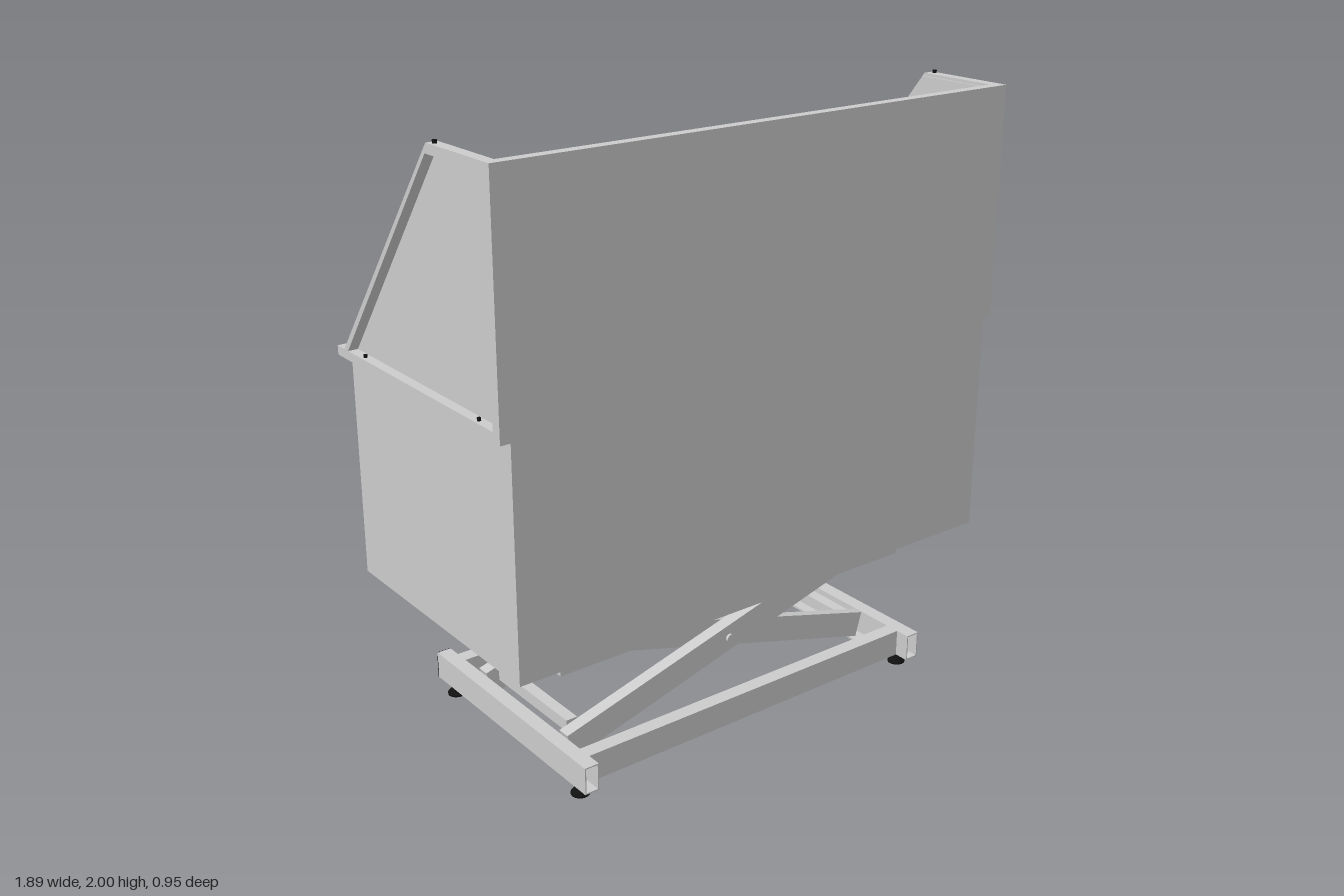
import * as THREE from 'three';

const grey = new THREE.MeshStandardMaterial({ color: 0xcccccc });
const black = new THREE.MeshStandardMaterial({ color: 0x111111 });

function add(parent, name, geometry, material = grey) {
  const mesh = new THREE.Mesh(geometry, material);
  mesh.name = name;
  parent.add(mesh);
  return mesh;
}

// Box given by its limits on each axis
function box(parent, name, [x0, x1], [y0, y1], [z0, z1], material) {
  const m = add(parent, name, new THREE.BoxGeometry(x1 - x0, y1 - y0, z1 - z0), material);
  m.position.set((x0 + x1) / 2, (y0 + y1) / 2, (z0 + z1) / 2);
  return m;
}

const points = (list) => list.map(([a, b]) => new THREE.Vector2(a, b));

// Extrude a (z, y) profile along x, from x0 to x1
function sidePlate(parent, name, outline, hole, x0, x1) {
  const shape = new THREE.Shape(points(outline));
  if (hole) shape.holes.push(new THREE.Path(points(hole)));
  const g = new THREE.ExtrudeGeometry(shape, { depth: x1 - x0, bevelEnabled: false });
  g.rotateY(-Math.PI / 2).translate(x1, 0, 0);
  return add(parent, name, g);
}

function pin(parent, name, radius, length, axis, x, y, z, material) {
  const g = new THREE.CylinderGeometry(radius, radius, length, 16);
  if (axis === 'x') g.rotateZ(Math.PI / 2);
  if (axis === 'z') g.rotateX(Math.PI / 2);
  add(parent, name, g, material).position.set(x, y, z);
}

function makeTub() {
  const tub = new THREE.Group();
  tub.name = 'tub';
  box(tub, 'floor', [-0.912, 0.912], [0.49, 0.5], [-0.44, 0.475]);

  // Tall splash wall, wider above the side rims
  const wall = new THREE.Shape(points([
    [-0.912, 0.49], [0.912, 0.49], [0.912, 1.23], [0.945, 1.23],
    [0.945, 1.99], [-0.945, 1.99], [-0.945, 1.23], [-0.912, 1.23],
  ]));
  const wallGeometry = new THREE.ExtrudeGeometry(wall, { depth: 0.035, bevelEnabled: false });
  add(tub, 'frontWall', wallGeometry.translate(0, 0, 0.44));

  // Side walls with sloping wings and an outward frame round each wing
  const panel = [[0.45, 0.49], [0.45, 1.98], [0.152, 1.98], [-0.42, 1.25], [-0.445, 1.25], [-0.445, 0.49]];
  const rim = [[0.475, 1.23], [0.475, 1.99], [0.155, 1.99], [-0.425, 1.26], [-0.467, 1.26], [-0.467, 1.23]];
  const recess = [[0.44, 1.26], [0.44, 1.96], [0.148, 1.96], [-0.4, 1.26]];
  for (const s of [-1, 1]) {
    const span = (a, b) => (s > 0 ? [a, b] : [-b, -a]);
    sidePlate(tub, 'sideWall', panel, null, ...span(0.902, 0.912));
    sidePlate(tub, 'wingFrame', rim, recess, ...span(0.908, 0.945));
    pin(tub, 'wingPeg', 0.007, 0.02, 'y', s * 0.93, 1.99, 0.178, black);
    for (const [z, y] of [[0.437, 1.9], [0.437, 1.34], [0.345, 1.264], [-0.315, 1.264]])
      pin(tub, 'frameRivet', 0.006, 0.01, z > 0.4 ? 'z' : 'y', s * 0.93, y, z, black);
  }

  // Back wall with entry opening, sill and jambs
  box(tub, 'backWall', [-0.912, 0.105], [0.49, 1.25], [-0.445, -0.435]);
  box(tub, 'backRim', [-0.945, 0.105], [1.23, 1.26], [-0.47, -0.432]);
  box(tub, 'cornerRim', [0.878, 0.945], [1.23, 1.26], [-0.47, -0.432]);
  box(tub, 'sill', [0.1, 0.9], [0.49, 0.6], [-0.442, -0.432]);
  box(tub, 'innerJamb', [0.1, 0.13], [0.49, 1.23], [-0.45, -0.432]);
  box(tub, 'outerJamb', [0.88, 0.912], [0.49, 1.23], [-0.447, -0.432]);

  // Gate sockets and latches
  for (const x of [0.135, 0.85]) {
    pin(tub, 'gateSocket', 0.02, 0.008, 'x', x, 0.542, -0.455);
    box(tub, 'socketTab', [x - 0.004, x + 0.004], [0.522, 0.562], [-0.456, -0.44]);
  }
  for (const x of [0.115, 0.895])
    box(tub, 'latchPlate', [x - 0.005, x + 0.005], [1.105, 1.14], [-0.453, -0.445], black);
  return tub;
}

function makeLift() {
  const lift = new THREE.Group();
  lift.name = 'scissorLift';
  lift.position.z = 0.03;

  // Hollow cross tubes of the base
  const tube = new THREE.Shape(points([[-0.025, 0.04], [0.025, 0.04], [0.025, 0.132], [-0.025, 0.132]]));
  tube.holes.push(new THREE.Path(points([[-0.021, 0.044], [-0.021, 0.128], [0.021, 0.128], [0.021, 0.044]])));
  const tubeGeometry = new THREE.ExtrudeGeometry(tube, { depth: 0.88, bevelEnabled: false });
  tubeGeometry.translate(0, 0, -0.44);

  // Levelling foot
  const footGeometry = new THREE.LatheGeometry(points([
    [0, 0], [0.03, 0], [0.03, 0.006], [0.014, 0.024], [0.01, 0.026], [0.01, 0.045], [0, 0.045],
  ]), 20);

  const tilt = Math.atan2(0.25, 0.9);
  for (const s of [-1, 1]) {
    const span = (a, b) => (s > 0 ? [a, b] : [-b, -a]);
    add(lift, 'baseCrossTube', tubeGeometry).position.x = s * 0.67;
    box(lift, 'tubeEnd', span(0.645, 0.695), [0.04, 0.132], [-0.442, -0.438], black);
    box(lift, 'baseRail', [-0.645, 0.645], [0.04, 0.132], span(0.34, 0.39));
    box(lift, 'baseSideLedge', [-0.645, 0.645], [0.04, 0.048], span(0.285, 0.34));
    box(lift, 'baseEndLedge', span(0.595, 0.645), [0.04, 0.048], [-0.34, 0.34]);
    for (const z of [-0.37, 0.37])
      add(lift, 'foot', footGeometry, black).position.set(s * 0.667, 0, z);

    // Upper frame
    box(lift, 'upperRail', [-0.695, 0.69], [0.39, 0.49], span(0.27, 0.32));
    box(lift, 'upperEndRail', span(0.642, 0.692), [0.39, 0.49], [-0.27, 0.27]);
    box(lift, 'upperEndLedge', span(0.592, 0.642), [0.39, 0.398], [-0.27, 0.27]);

    // Crossed arms: outer pair one way, inner pair the other
    const arm = (name, z, angle) => {
      const m = box(lift, name, [-0.65, 0.65], [0.22, 0.31], span(...z));
      m.rotation.z = angle;
    };
    arm('outerArm', [0.217, 0.262], tilt);
    arm('innerArm', [0.185, 0.217], -tilt);
    pin(lift, 'pivotBolt', 0.014, 0.09, 'z', 0, 0.265, s * 0.226);

    // Bars joining the arm ends
    box(lift, 'lowerArmBar', span(0.56, 0.6), [0.105, 0.145], [-0.2, 0.2]);
    box(lift, 'upperArmBar', span(0.56, 0.6), [0.38, 0.42], [-0.2, 0.2]);
  }
  return lift;
}

export function createModel() {
  const model = new THREE.Group();
  model.name = 'bathingTubOnLift';
  model.add(makeTub(), makeLift());
  return model;
}
